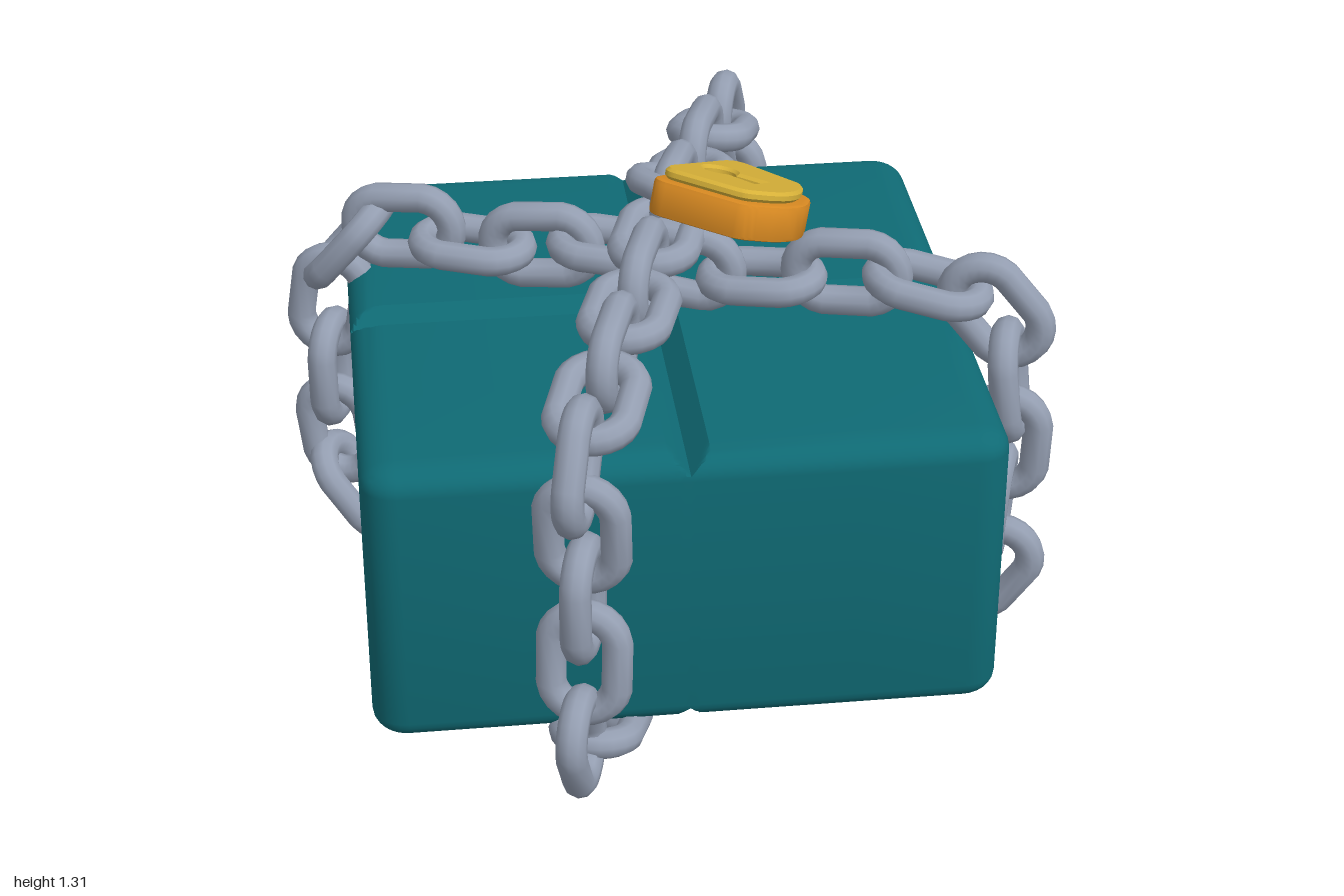
import * as THREE from 'three';
import { toCreasedNormals } from 'three/addons/utils/BufferGeometryUtils.js';

const flat = (name, color) => Object.assign(new THREE.MeshStandardMaterial({ color }), { name });
const V = (x, y, z) => new THREE.Vector3(x, y, z);

// Rounded block with a V groove crossing its top and bottom
function boxGeometry(half, r, rv) {
  const groove = 0.05, depth = 0.048;
  const line = (h, rad, inner) => {
    const side = [h, h - rad * 0.25, h - rad * 0.5, h - rad * 0.75, h - rad, ...inner];
    return [...side.map(v => -v), 0, ...side.reverse()];
  };
  const fine = [0.4, groove, groove * 0.75, groove * 0.5, groove * 0.25];
  const xs = line(half.x, r, fine), ys = line(half.y, rv, []), zs = line(half.z, r, fine);
  const geo = new THREE.BoxGeometry(1, 1, 1, xs.length - 1, ys.length - 1, zs.length - 1);
  const pos = geo.attributes.position;
  const pick = (list, t) => list[Math.round((t + 0.5) * (list.length - 1))];
  const core = V(half.x - r, half.y - rv, half.z - r);
  for (let i = 0; i < pos.count; i++) {
    const p = V(pick(xs, pos.getX(i)), pick(ys, pos.getY(i)), pick(zs, pos.getZ(i)));
    const c = p.clone().clamp(core.clone().negate(), core);
    const o = p.clone().sub(c).divide(V(r, rv, r));
    if (o.lengthSq() > 0) o.normalize();
    const q = c.add(o.multiply(V(r, rv, r)));
    const cut = Math.max(0, 1 - Math.min(Math.abs(p.x), Math.abs(p.z)) / groove) * depth;
    const limit = half.y - cut;
    q.y = THREE.MathUtils.clamp(q.y, -limit, limit);
    pos.setXYZ(i, q.x, q.y, q.z);
  }
  return toCreasedNormals(geo, 0.6);
}

// Oval link: a torus pulled apart along x
function linkGeometry() {
  const geo = new THREE.TorusGeometry(0.08, 0.0375, 10, 22);
  const pos = geo.attributes.position;
  for (let i = 0; i < pos.count; i++) {
    const x = pos.getX(i);
    pos.setX(i, x + Math.sign(x) * 0.048);
  }
  return geo;
}

// Closed chain in a vertical plane; nodes are [distance, height], links alternate upright and flat
function chain(name, nodes, centre, dir, geo, material) {
  const group = new THREE.Group();
  group.name = name;
  const across = dir.clone().cross(V(0, 1, 0)).normalize();
  const pts = nodes.map(([u, y]) => centre.clone().addScaledVector(dir, u).setY(y));
  const n = pts.length;
  pts.forEach((p, i) => {
    const along = pts[(i + 1) % n].clone().sub(pts[(i + n - 1) % n]).normalize();
    const out = across.clone().cross(along);
    const m = i % 2 === 0
      ? new THREE.Matrix4().makeBasis(along, out.negate(), across.clone().negate())
      : new THREE.Matrix4().makeBasis(along, across, along.clone().cross(across));
    if (m.determinant() < 0) m.scale(V(1, 1, -1));
    const link = new THREE.Mesh(geo, material);
    link.name = i % 2 === 0 ? 'uprightLink' : 'flatLink';
    link.quaternion.setFromRotationMatrix(m);
    link.position.copy(p);
    group.add(link);
  });
  return group;
}

// Shield outline, scaled about its centre
function shield(k) {
  const s = new THREE.Shape();
  s.moveTo(-0.13 * k, 0.125 * k);
  s.lineTo(0.13 * k, 0.125 * k);
  s.quadraticCurveTo(0.18 * k, 0.12 * k, 0.175 * k, 0.075 * k);
  s.lineTo(0.145 * k, -0.13 * k);
  s.quadraticCurveTo(0.135 * k, -0.155 * k, 0.11 * k, -0.165 * k);
  s.quadraticCurveTo(0, -0.24 * k, -0.11 * k, -0.165 * k);
  s.quadraticCurveTo(-0.135 * k, -0.155 * k, -0.145 * k, -0.13 * k);
  s.lineTo(-0.175 * k, 0.075 * k);
  s.quadraticCurveTo(-0.18 * k, 0.12 * k, -0.13 * k, 0.125 * k);
  return s;
}

function padlock(steel, gold, amber) {
  const lock = new THREE.Group();
  lock.name = 'padlock';

  const bodyGeo = new THREE.ExtrudeGeometry(shield(0.95),
    { depth: 0.07, bevelThickness: 0.01, bevelSize: 0.01, bevelSegments: 2, curveSegments: 6 });
  const body = new THREE.Mesh(toCreasedNormals(bodyGeo, 0.6), amber);
  body.name = 'lockBody';
  body.position.z = -0.085;

  // Face plate with a keyhole cut through it
  const face = shield(0.84);
  const hole = new THREE.Path();
  hole.absarc(0, 0.04, 0.05, -1.05, Math.PI + 1.05, false);
  hole.lineTo(-0.035, -0.09);
  hole.lineTo(0.035, -0.09);
  hole.closePath();
  face.holes.push(hole);
  const faceGeo = new THREE.ExtrudeGeometry(face,
    { depth: 0.012, bevelThickness: 0.008, bevelSize: 0.008, bevelSegments: 1, curveSegments: 8 });
  const plate = new THREE.Mesh(toCreasedNormals(faceGeo, 0.5), gold);
  plate.name = 'lockFace';
  plate.position.z = 0.004;

  // Shackle
  const path = new THREE.CatmullRomCurve3([
    V(-0.085, 0.06, -0.05), V(-0.085, 0.16, -0.05), V(-0.06, 0.23, -0.05), V(0, 0.255, -0.05),
    V(0.06, 0.23, -0.05), V(0.085, 0.16, -0.05), V(0.085, 0.06, -0.05)]);
  const shackle = new THREE.Mesh(new THREE.TubeGeometry(path, 28, 0.035, 10), steel);
  shackle.name = 'shackle';

  lock.add(body, plate, shackle);
  const normal = V(0.22, 1, -0.25).normalize();
  const up = V(-0.7, 0, -0.7);
  up.addScaledVector(normal, -up.dot(normal)).normalize();
  const m = new THREE.Matrix4().makeBasis(up.clone().cross(normal), up, normal);
  lock.quaternion.setFromRotationMatrix(m);
  lock.position.set(0.18, 1.225, 0);
  return lock;
}

export function createModel() {
  const teal = flat('teal', 0x0f6a74);
  const steel = flat('steel', 0x949eb1);
  const gold = flat('gold', 0xd6b038);
  const amber = flat('amber', 0xd98a22);
  const model = new THREE.Group();
  model.name = 'chainedBox';

  const box = new THREE.Mesh(boxGeometry(V(0.7625, 0.38, 0.76), 0.085, 0.06), teal);
  box.name = 'box';
  box.position.set(-0.007, 0.51, -0.037);
  model.add(box);

  const link = linkGeometry();
  const sideways = [
    [-0.62, 1.02], [-0.45, 0.99], [-0.28, 1.01], [-0.11, 1.03], [0.06, 1.0], [0.25, 0.99],
    [0.45, 1.03], [0.64, 1.02], [0.8, 0.97], [0.84, 0.78], [0.84, 0.6], [0.83, 0.42],
    [0.82, 0.22], [0.65, 0.12], [0.46, 0.125], [0.28, 0.1], [0.1, 0.125], [-0.08, 0.1],
    [-0.26, 0.125], [-0.44, 0.1], [-0.62, 0.117], [-0.78, 0.22], [-0.81, 0.39],
    [-0.82, 0.58], [-0.81, 0.78], [-0.76, 0.96]];
  const lengthways = [
    [0.86, 0.98], [0.67, 1.03], [0.5, 1.06], [0.33, 1.07], [0.17, 1.08], [0, 1.09],
    [-0.19, 1.11], [-0.37, 1.06], [-0.53, 1.07], [-0.7, 1.03], [-0.87, 0.97], [-0.88, 0.78],
    [-0.88, 0.6], [-0.88, 0.41], [-0.87, 0.2], [-0.72, 0.12], [-0.55, 0.13], [-0.38, 0.11],
    [-0.2, 0.13], [0, 0.1], [0.17, 0.13], [0.33, 0.11], [0.5, 0.13], [0.67, 0.12],
    [0.87, 0.22], [0.83, 0.42], [0.83, 0.6], [0.83, 0.78]];
  model.add(
    chain('sidewaysChain', sideways.map(([x, y]) => [x / 0.94, y]),
      V(0, 0, -0.035), V(0.94, 0, 0.342).normalize(), link, steel),
    chain('lengthwaysChain', lengthways.map(([z, y]) => [z / 0.95, y]),
      V(0, 0, 0), V(-0.31, 0, 0.95).normalize(), link, steel),
    padlock(steel, gold, amber));
  return model;
}
